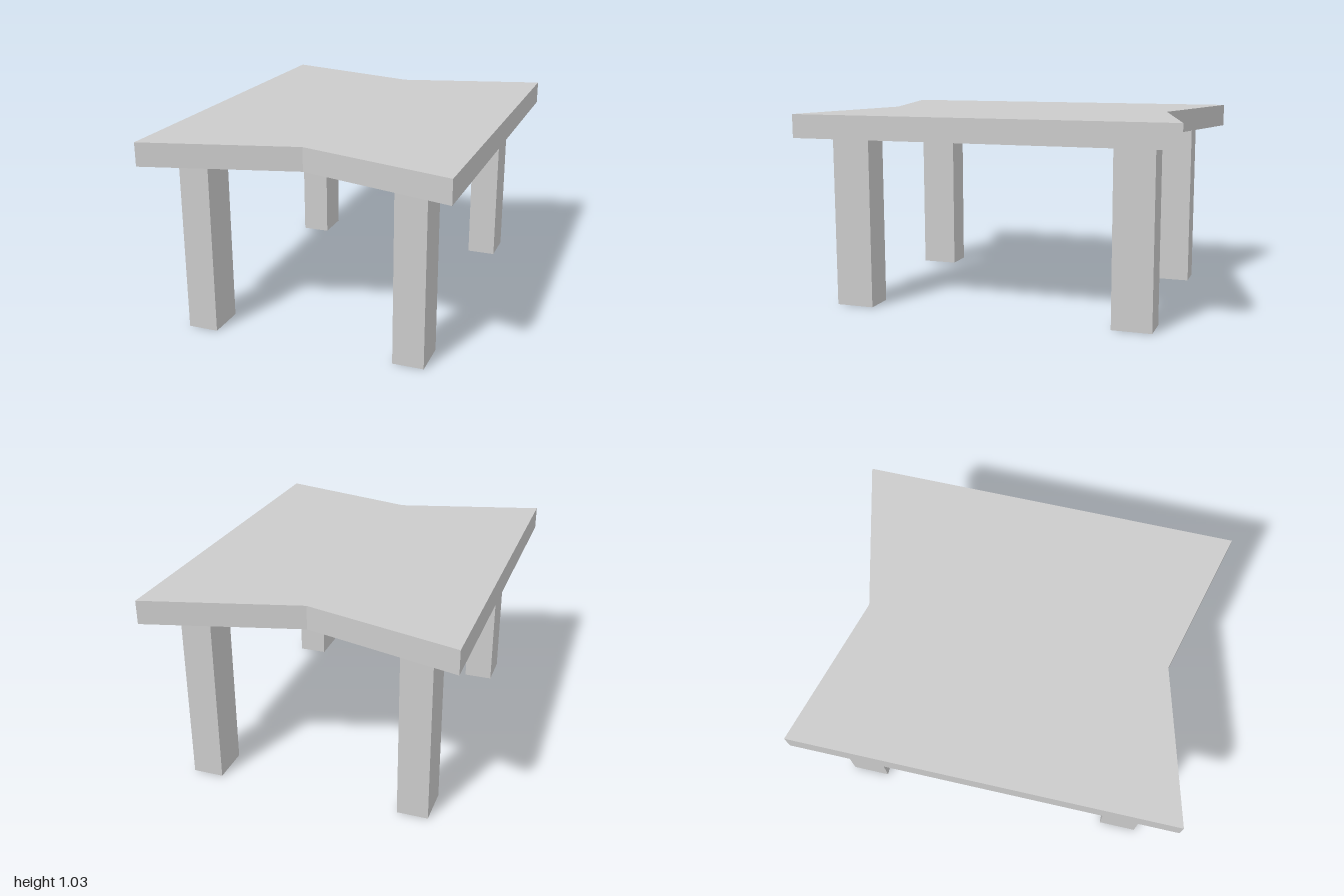
import * as THREE from 'three';

export function createModel() {
  const table = new THREE.Group();
  table.name = 'table';
  const material = new THREE.MeshStandardMaterial({ color: 0xcccccc, flatShading: true });

  const halfWidth = 0.792, halfDepth = 1, notchDepth = 0.79;
  const legHeight = 0.907, topThickness = 0.123;

  // Tabletop: slab with a shallow V cut into the front and back edges
  const outline = new THREE.Shape([
    [-halfWidth, -halfDepth], [0, -notchDepth], [halfWidth, -halfDepth],
    [halfWidth, halfDepth], [0, notchDepth], [-halfWidth, halfDepth],
  ].map(([x, y]) => new THREE.Vector2(x, y)));
  const topGeometry = new THREE.ExtrudeGeometry(outline, { depth: topThickness, bevelEnabled: false });
  topGeometry.rotateX(-Math.PI / 2);
  const top = new THREE.Mesh(topGeometry, material);
  top.name = 'tabletop';
  top.position.y = legHeight;
  table.add(top);

  // Four straight rectangular legs
  const legGeometry = new THREE.BoxGeometry(0.16, legHeight, 0.205);
  for (const [sx, side] of [[1, 'Left'], [-1, 'Right']]) {
    for (const [sz, end] of [[1, 'front'], [-1, 'back']]) {
      const leg = new THREE.Mesh(legGeometry, material);
      leg.name = `${end}${side}Leg`;
      leg.position.set(sx * 0.562, legHeight / 2, sz * 0.752);
      table.add(leg);
    }
  }

  return table;
}
